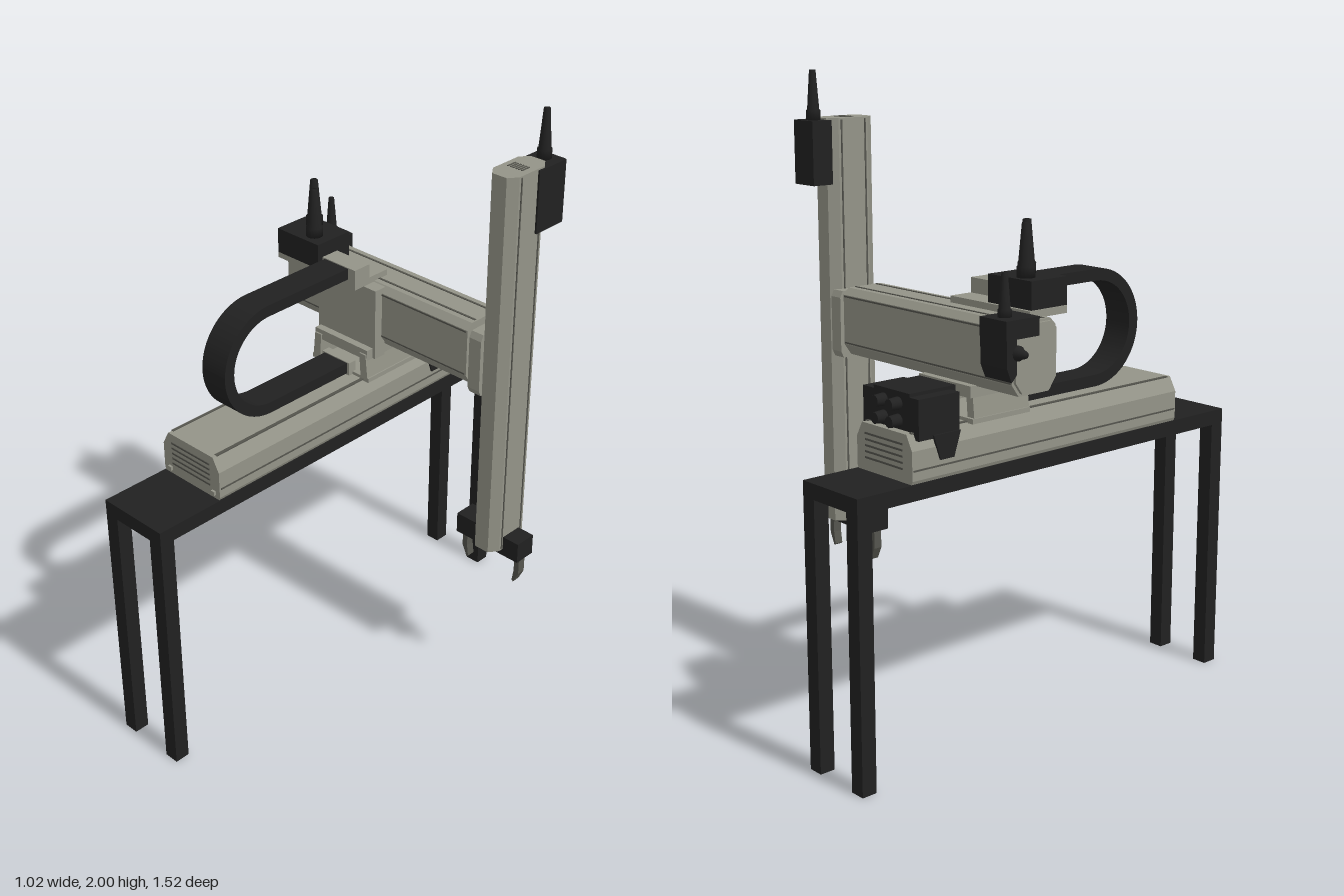
import * as THREE from 'three';

const mat = (name, color) => Object.assign(new THREE.MeshStandardMaterial({ color }), { name });

export function createModel() {
  const root = new THREE.Group();
  root.name = 'gantryRobot';
  const grey = mat('warmGrey', 0x949488);
  const black = mat('black', 0x212121);
  const seam = mat('darkGrey', 0x55554e);

  const add = (name, geo, material) => {
    const m = new THREE.Mesh(geo, material);
    m.name = name;
    root.add(m);
    return m;
  };
  // box from its minimum and maximum on each axis
  const box = (name, material, x0, x1, y0, y1, z0, z1) =>
    add(name, new THREE.BoxGeometry(x1 - x0, y1 - y0, z1 - z0)
      .translate((x0 + x1) / 2, (y0 + y1) / 2, (z0 + z1) / 2), material);
  const shapeOf = pts => new THREE.Shape(pts.map(p => new THREE.Vector2(...p)));
  // rectangle with cut corners
  const chamfered = (a0, a1, b0, b1, lowA, lowB, topA = lowA, topB = lowB) => [
    [a0 + lowA, b0], [a1 - lowA, b0], [a1, b0 + lowB], [a1, b1 - topB],
    [a1 - topA, b1], [a0 + topA, b1], [a0, b1 - topB], [a0, b0 + lowB]];
  // profile along an axis: z uses (x, y), x uses (-z, y), y uses (x, -z)
  const prism = (name, material, pts, axis, from, to) => {
    const geo = new THREE.ExtrudeGeometry(shapeOf(pts),
      { depth: to - from, bevelEnabled: false, curveSegments: 20 }).translate(0, 0, from);
    if (axis === 'x') geo.rotateY(Math.PI / 2);
    if (axis === 'y') geo.rotateX(-Math.PI / 2);
    return add(name, geo, material);
  };
  // tapered cable boot standing on a collar
  const boot = (name, x, y, z, h, r) => {
    const pts = [[0, 0], [r, 0], [r, h * 0.2], [r * 0.85, h * 0.22], [r * 0.45, h], [0, h]];
    const m = add(name, new THREE.LatheGeometry(pts.map(p => new THREE.Vector2(...p)), 16), black);
    m.position.set(x, y, z);
    return m;
  };

  // table
  box('tableTop', black, -0.3, -0.05, 0.84, 0.888, -0.76, 0.76);
  for (const x of [-0.3, -0.1])
    for (const z of [-0.76, 0.71]) box('tableLeg', black, x, x + 0.05, 0, 0.84, z, z + 0.05);

  // base rail with ribbed end caps
  prism('baseRail', grey, chamfered(-0.3, -0.05, 0.888, 1.03, 0.004, 0.01, 0.025, 0.045), 'z', -0.565, 0.525);
  for (const z of [0.523, -0.568])
    for (let i = 0; i < 5; i++)
      box('railVent', seam, -0.26, -0.09, 0.925 + i * 0.018, 0.931 + i * 0.018, z, z + 0.005);
  for (const x of [-0.278, -0.082]) {
    box('railSeam', seam, x, x + 0.01, 1.028, 1.032, -0.55, 0.51);
    box('railFoot', grey, x, x + 0.014, 0.9, 0.914, 0.525, 0.533);
  }
  for (const x of [-0.302, -0.05]) box('railSideSeam', seam, x, x + 0.002, 0.925, 0.93, -0.56, 0.52);

  // base motor straddling the rear of the rail
  box('baseMotor', black, -0.3, -0.05, 1.01, 1.13, -0.54, -0.39);
  box('baseMotorCover', black, -0.26, -0.1, 1.03, 1.14, -0.54, -0.37);
  for (const x of [-0.306, -0.052])
    prism('motorBracket', black, [[0.39, 1.02], [0.415, 0.945], [0.465, 0.945], [0.49, 1.02]], 'x', x, x + 0.008);
  for (const x of [-0.21, -0.145])
    for (const y of [1.055, 1.105]) {
      const plug = add('motorPlug', new THREE.CylinderGeometry(0.017, 0.02, 0.04, 12), black);
      plug.rotation.x = -Math.PI / 2;
      plug.position.set(x, y, -0.555);
    }

  // carriage: splayed feet, front plate and top bracket
  for (const s of [-1, 1]) {
    const c = -0.175;
    const pts = [[c + s * 0.122, 1.025], [c + s * 0.092, 1.025], [c + s * 0.085, 1.12], [c + s * 0.112, 1.12]];
    prism('carriageFoot', grey, s > 0 ? pts.reverse() : pts, 'z', -0.33, -0.115);
  }
  box('carriageBase', grey, -0.3, -0.05, 1.025, 1.04, -0.34, -0.115);
  box('carriageShelf', grey, -0.29, -0.06, 1.1, 1.135, -0.34, -0.12);
  box('carriagePlate', grey, -0.3, -0.05, 1.1, 1.34, -0.19, -0.145);
  box('topBracket', grey, -0.44, -0.1, 1.34, 1.362, -0.25, -0.105);
  box('chainMount', grey, -0.24, -0.1, 1.36, 1.408, -0.17, -0.105);
  box('chainLowerMount', grey, -0.24, -0.12, 1.03, 1.075, -0.13, -0.1);

  // cable chain: U-shaped band
  const u = new THREE.Shape();
  u.moveTo(0.12, 1.035);
  u.lineTo(-0.23, 1.035);
  u.absarc(-0.23, 1.22, 0.185, -Math.PI / 2, Math.PI / 2, true);
  u.lineTo(0.12, 1.405);
  u.lineTo(0.12, 1.368);
  u.lineTo(-0.23, 1.368);
  u.absarc(-0.23, 1.22, 0.148, Math.PI / 2, -Math.PI / 2, false);
  u.lineTo(0.12, 1.072);
  add('cableChain', new THREE.ExtrudeGeometry(u, { depth: 0.1, bevelEnabled: false, curveSegments: 28 })
    .translate(0, 0, -0.23).rotateY(Math.PI / 2), black);

  // connection box with two cable boots
  box('connectionBox', black, -0.435, -0.255, 1.362, 1.445, -0.24, -0.1);
  boot('cableBoot', -0.37, 1.445, -0.2, 0.155, 0.027);
  boot('cableBoot', -0.315, 1.445, -0.145, 0.155, 0.027);

  // horizontal arm
  prism('arm', grey, chamfered(0.175, 0.34, 1.132, 1.342, 0.025, 0.035, 0.02, 0.02), 'x', -0.465, 0.3);
  prism('armEndCap', grey, chamfered(0.18, 0.335, 1.14, 1.335, 0.025, 0.035, 0.02, 0.02), 'x', -0.475, -0.465);
  for (const z of [-0.3, -0.22]) box('armTopSeam', seam, -0.46, 0.295, 1.34, 1.344, z, z + 0.007);
  for (const z of [-0.342, -0.175])
    for (const y of [1.17, 1.315]) box('armSideSeam', seam, -0.46, 0.295, y, y + 0.005, z, z + 0.002);

  // arm motor wrapping the rear end of the arm
  box('armMotorTop', black, -0.48, -0.37, 1.3, 1.355, -0.375, -0.25);
  prism('armMotor', black, [[0.335, 1.2], [0.355, 1.18], [0.372, 1.22], [0.375, 1.355], [0.335, 1.355]], 'x', -0.48, -0.37);
  boot('armMotorBoot', -0.423, 1.35, -0.33, 0.13, 0.02);
  boot('armSideBoot', -0.475, 1.26, -0.33, 0.036, 0.022).rotation.z = Math.PI / 2;

  // slider joining the arm to the column
  box('armSlider', black, 0.29, 0.32, 1.15, 1.31, -0.29, -0.215);
  prism('columnCarriage', grey, chamfered(0.167, 0.342, 1.12, 1.33, 0.01, 0.02), 'x', 0.315, 0.36);

  // vertical column with seams and a slotted top
  prism('column', grey, chamfered(0.35, 0.447, 0.167, 0.338, 0.022, 0.03), 'y', 0.575, 1.855);
  for (const z of [-0.3, -0.21])
    for (const x of [0.348, 0.446]) box('columnSeam', seam, x, x + 0.003, 0.58, 1.85, z, z + 0.005);
  for (let i = 0; i < 6; i++)
    box('columnVent', seam, 0.37 + i * 0.01, 0.375 + i * 0.01, 1.853, 1.857, -0.27, -0.235);

  // column motor
  box('columnMotor', black, 0.355, 0.445, 1.655, 1.85, -0.402, -0.33);
  box('columnMotorFlange', black, 0.425, 0.453, 1.655, 1.85, -0.4, -0.28);
  boot('columnMotorBoot', 0.4, 1.848, -0.365, 0.152, 0.022);

  // gripper with two hooked fingers
  box('gripperBody', black, 0.255, 0.507, 0.55, 0.62, -0.29, -0.215);
  const finger = [[-0.117, 0.555], [-0.117, 0.49], [-0.098, 0.45], [-0.092, 0.455],
    [-0.098, 0.495], [-0.098, 0.53], [-0.085, 0.555]];
  for (const s of [1, -1]) {
    const pts = finger.map(([x, y]) => [0.381 + s * x, y]);
    prism('gripperFinger', seam, s < 0 ? pts.reverse() : pts, 'z', -0.265, -0.237);
  }
  return root;
}
